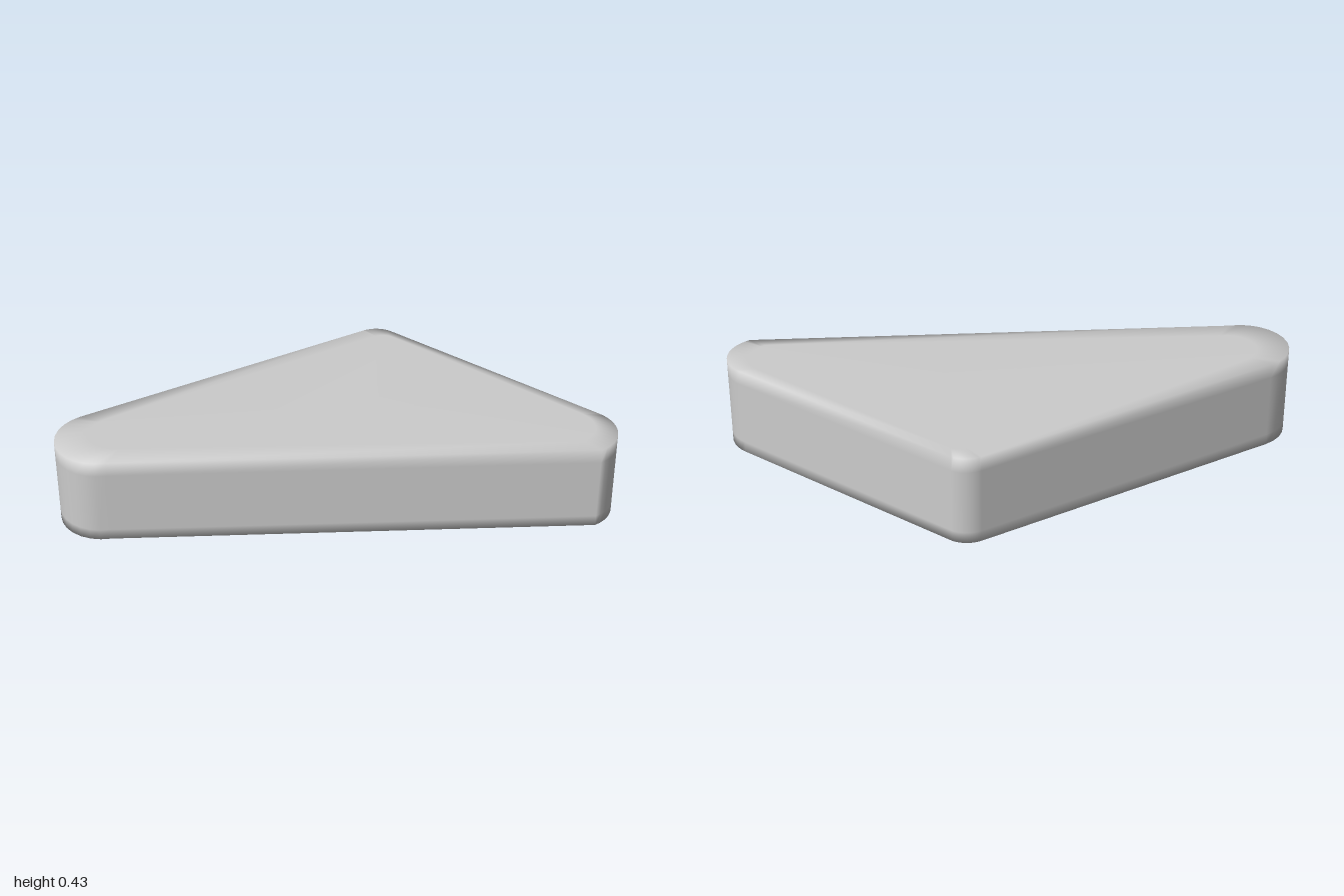
import * as THREE from 'three';

const STEPS = 12;
// angle span of the rounded corners: left tip, front tip, back corner
const SPANS = [[-90, -253], [90, -22], [-30, -90]];

// one closed cross-section: three corner arcs [x, z, radius] joined by straight edges
function ring(y, corners) {
  const points = [];
  corners.forEach(([x, z, r], k) => {
    const [from, to] = SPANS[k];
    for (let i = 0; i <= STEPS; i++) {
      const a = THREE.MathUtils.degToRad(from + (to - from) * i / STEPS);
      points.push([x + r * Math.cos(a), y, z + r * Math.sin(a)]);
    }
  });
  return points;
}

// smooth skin through the rings, closed at both ends by a fan
function loft(rings, centre) {
  const n = rings[0].length, last = (rings.length - 1) * n;
  const positions = rings.flat(2), index = [];
  const bottom = rings.length * n, top = bottom + 1;
  positions.push(centre[0], rings[0][0][1], centre[1]);
  positions.push(centre[0], rings[rings.length - 1][0][1], centre[1]);
  for (let j = 0; j < n; j++) {
    const k = (j + 1) % n;
    for (let o = 0; o < last; o += n) {
      index.push(o + j, o + k, o + n + k, o + j, o + n + k, o + n + j);
    }
    index.push(bottom, k, j, top, last + j, last + k);
  }
  const geometry = new THREE.BufferGeometry();
  geometry.setAttribute('position', new THREE.Float32BufferAttribute(positions, 3));
  geometry.setIndex(index);
  geometry.computeVertexNormals();
  return geometry;
}

export function createModel() {
  const group = new THREE.Group();
  group.name = 'roundedWedge';

  const outline = [[-0.82, -0.447, 0.178], [0.842, 0.464, 0.156], [0.5, -0.515, 0.11]];
  const base = [[-0.613, -0.383, 0.107], [0.77, 0.39, 0.1], [0.45, -0.4, 0.09]];
  const rim = [[-0.75, -0.44, 0.11], [0.81, 0.42, 0.12], [0.52, -0.49, 0.06]];

  // chamfered base, upright walls, softly eased top
  const geometry = loft([
    ring(0, base),
    ring(0.055, outline),
    ring(0.1, outline),
    ring(0.36, outline),
    ring(0.42, outline),
    ring(0.425, rim),
  ], [0.25, -0.1]);

  const body = new THREE.Mesh(geometry, new THREE.MeshStandardMaterial({ color: 0xcccccc }));
  body.name = 'body';
  group.add(body);
  return group;
}
